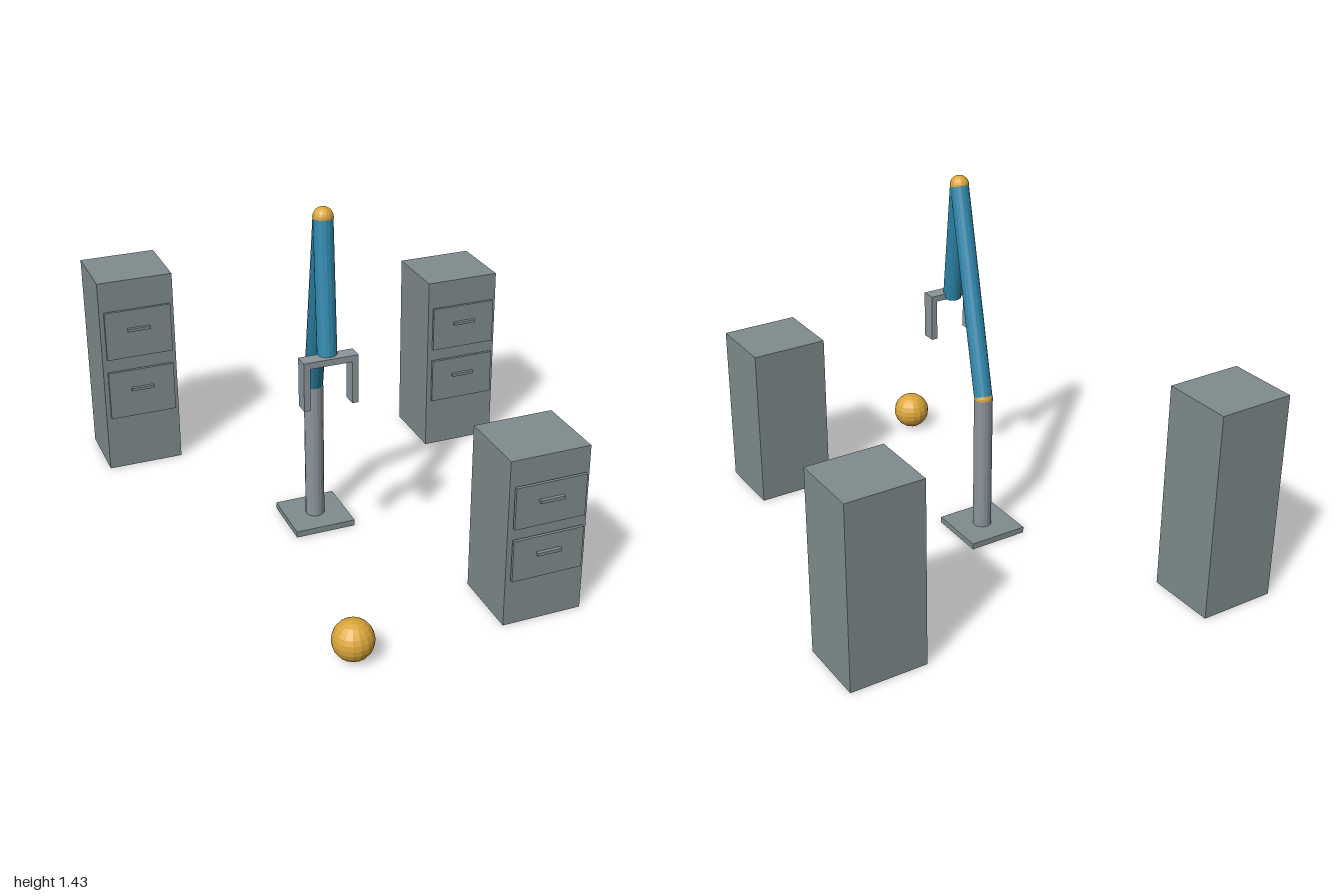
import * as THREE from 'three';

export function createModel() {
  const root = new THREE.Group();
  root.name = 'robotArmScene';

  const material = (name, color) => {
    const m = new THREE.MeshStandardMaterial({ color, flatShading: true });
    m.name = name;
    return m;
  };
  const cabinetGrey = material('cabinetGrey', 0x7f8c8d);
  const metalGrey = material('metalGrey', 0x8a959b);
  const armBlue = material('armBlue', 0x2e86ab);
  const gold = material('gold', 0xdba63a);

  const add = (parent, name, geometry, mat, x, y, z) => {
    const mesh = new THREE.Mesh(geometry, mat);
    mesh.name = name;
    mesh.position.set(x, y, z);
    parent.add(mesh);
    return mesh;
  };
  const box = (parent, name, mat, w, h, d, x, y, z) =>
    add(parent, name, new THREE.BoxGeometry(w, h, d), mat, x, y, z);
  const ball = (parent, name, r, p) =>
    add(parent, name, new THREE.SphereGeometry(r, 16, 12), gold, p.x, p.y, p.z);

  // Round bar between two points
  const bar = (parent, name, mat, r, a, b) => {
    const dir = b.clone().sub(a);
    const mid = a.clone().add(b).multiplyScalar(0.5);
    const mesh = add(parent, name, new THREE.CylinderGeometry(r, r, dir.length(), 16), mat, mid.x, mid.y, mid.z);
    mesh.quaternion.setFromUnitVectors(new THREE.Vector3(0, 1, 0), dir.normalize());
    return mesh;
  };

  // Filing cabinets: x centre, height, z of the front face
  const depth = 0.287;
  for (const [name, x, h, front] of [
    ['tallCabinet', -0.675, 0.857, -0.713],
    ['middleCabinet', 0.67, 0.768, -0.4],
    ['shortCabinet', 0.358, 0.676, 0.945],
  ]) {
    const cabinet = new THREE.Group();
    cabinet.name = name;
    cabinet.position.set(x, 0, front);
    root.add(cabinet);
    box(cabinet, 'body', cabinetGrey, 0.315, h, depth, 0, h / 2, -depth / 2);
    // Drawer fronts float just ahead of the body
    for (const level of [0.409, 0.727]) {
      box(cabinet, 'drawerFront', cabinetGrey, 0.28, h * 0.248, 0.012, 0, h * level, 0.013);
      box(cabinet, 'drawerHandle', cabinetGrey, 0.096, 0.012, 0.014, 0, h * (level + 0.024), 0.026);
    }
  }

  // Arm: base plate, column and two links
  const shoulder = new THREE.Vector3(-0.159, 0.6, -0.013);
  const elbow = new THREE.Vector3(-0.222, 1.395, 0.27);
  const wrist = new THREE.Vector3(-0.244, 0.888, 0.357);
  const arm = new THREE.Group();
  arm.name = 'robotArm';
  root.add(arm);
  box(arm, 'basePlate', cabinetGrey, 0.246, 0.025, 0.246, shoulder.x, 0.0125, shoulder.z);
  bar(arm, 'column', metalGrey, 0.038, new THREE.Vector3(shoulder.x, 0.025, shoulder.z), shoulder);
  ball(arm, 'shoulderJoint', 0.038, shoulder);
  bar(arm, 'upperArm', armBlue, 0.037, shoulder, elbow);
  ball(arm, 'elbowJoint', 0.038, elbow);
  bar(arm, 'forearm', armBlue, 0.037, elbow, wrist);

  // Two-finger gripper
  const gripper = new THREE.Group();
  gripper.name = 'gripper';
  gripper.position.set(-0.247, 0, 0.378);
  arm.add(gripper);
  box(gripper, 'palm', metalGrey, 0.21, 0.025, 0.057, 0, 0.895, 0);
  for (const side of [-1, 1]) {
    box(gripper, 'finger', metalGrey, 0.025, 0.166, 0.057, side * 0.0925, 0.8, 0);
  }

  // Ball on the floor
  ball(root, 'floorBall', 0.078, new THREE.Vector3(-0.373, 0.08, 0.92));

  return root;
}
